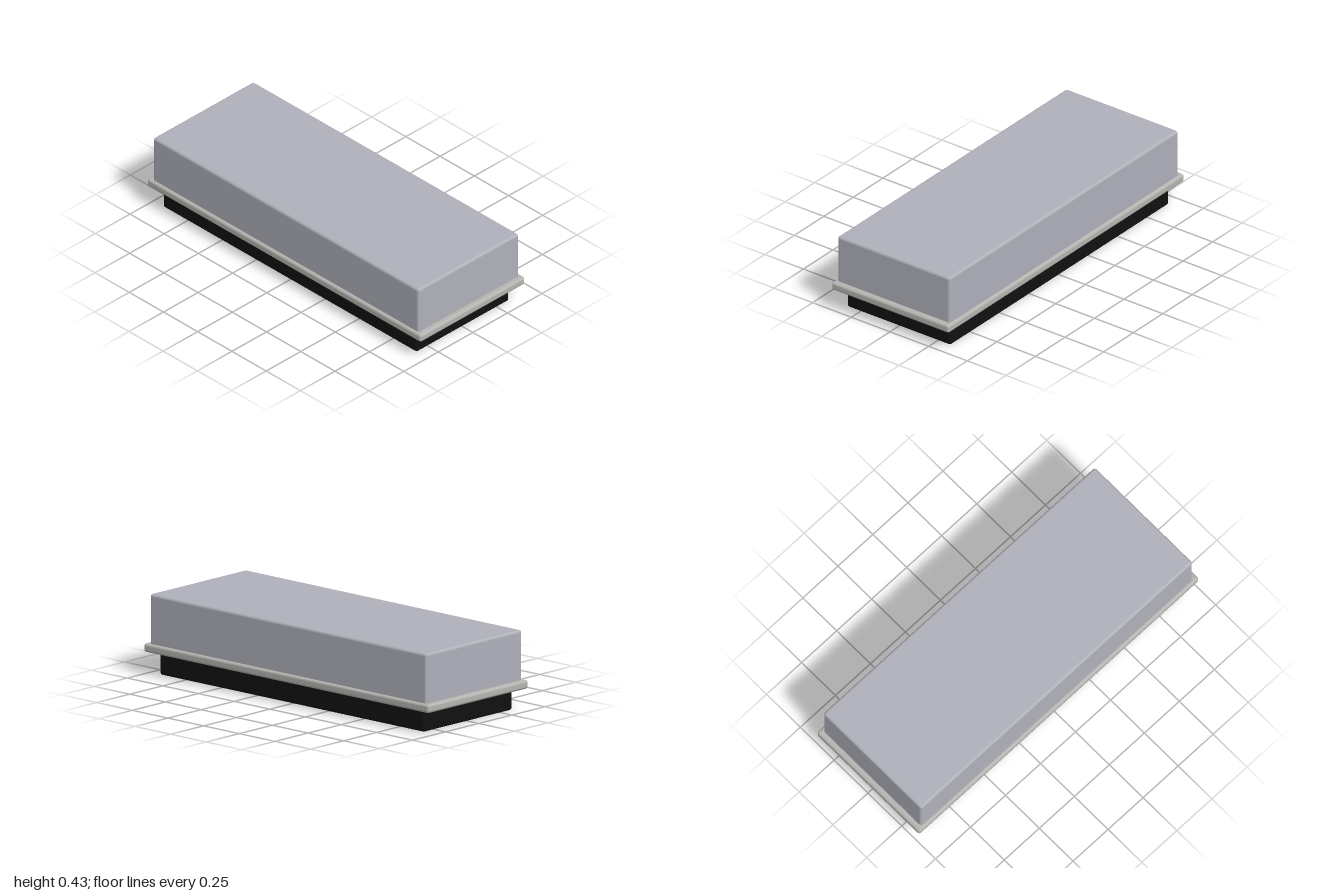
import * as THREE from 'three';
import { RoundedBoxGeometry } from 'three/addons/geometries/RoundedBoxGeometry.js';

export function createModel() {
  const group = new THREE.Group();

  // Rounded slab centred on x and z, spanning y0..y1
  function slab(name, width, depth, y0, y1, radius, color) {
    const mesh = new THREE.Mesh(
      new RoundedBoxGeometry(width, y1 - y0, depth, 4, radius),
      new THREE.MeshStandardMaterial({ color })
    );
    mesh.name = name;
    mesh.position.y = (y0 + y1) / 2;
    group.add(mesh);
  }

  // Dark plinth, tucked under the trim
  slab('base', 1.854, 0.67, 0, 0.14, 0.014, 0x111111);
  // Protruding rim between base and body
  slab('trim', 2, 0.758, 0.117, 0.163, 0.014, 0xb4b4b0);
  // Main block
  slab('body', 1.94, 0.726, 0.13, 0.426, 0.015, 0xb0b0bb);

  return group;
}
